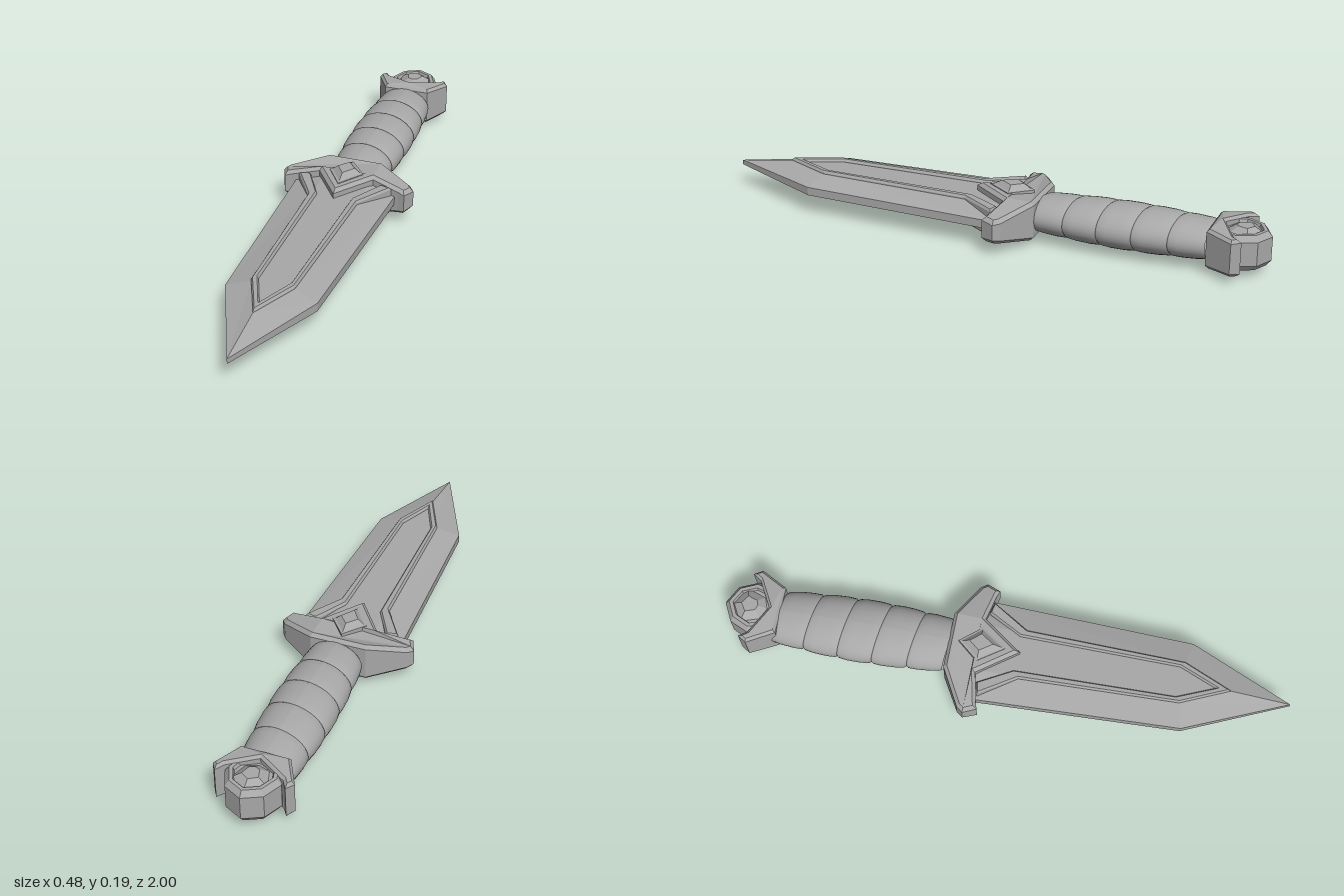
import * as THREE from 'three';

// Mirrors a half outline of [x, z] points (listed with x >= 0) across x = 0, counter-clockwise in x-z.
function mirror(half) {
  const other = half.filter(p => p[0] > 0).reverse().map(([x, z]) => [-x, z]);
  const pts = [...half, ...other];
  const area = THREE.ShapeUtils.area(pts.map(p => new THREE.Vector2(...p)));
  return area < 0 ? pts.reverse() : pts;
}

// Moves every edge of an outline inwards by d.
function inset(pts, d) {
  const n = pts.length;
  const dir = (a, b) => {
    const l = Math.hypot(b[0] - a[0], b[1] - a[1]);
    return [-(b[1] - a[1]) / l, (b[0] - a[0]) / l];
  };
  return pts.map((p, i) => {
    const u = dir(pts[(i + n - 1) % n], p), v = dir(p, pts[(i + 1) % n]);
    const k = d / Math.max(0.3, 1 + u[0] * v[0] + u[1] * v[1]);
    return [p[0] + (u[0] + v[0]) * k, p[1] + (u[1] + v[1]) * k];
  });
}

// Flat-faced solid through rings of [x, y, z], bottom to top, with caps.
function loft(rings) {
  const pos = [], n = rings[0].length;
  const tri = (a, b, c) => pos.push(...a, ...b, ...c);
  for (let r = 0; r < rings.length - 1; r++) {
    for (let i = 0; i < n; i++) {
      const j = (i + 1) % n, a = rings[r], b = rings[r + 1];
      tri(a[i], b[j], a[j]);
      tri(a[i], b[i], b[j]);
    }
  }
  const cap = (ring, up) => {
    const flat = ring.map(p => new THREE.Vector2(p[0], p[2]));
    for (const [a, b, c] of THREE.ShapeUtils.triangulateShape(flat, [])) {
      if (up) tri(ring[a], ring[c], ring[b]);
      else tri(ring[a], ring[b], ring[c]);
    }
  };
  cap(rings[0], false);
  cap(rings[rings.length - 1], true);
  const g = new THREE.BufferGeometry();
  g.setAttribute('position', new THREE.Float32BufferAttribute(pos, 3));
  g.computeVertexNormals();
  return g;
}

// Solid that is the same above and below; levels run from the rim to the top face as
// [outline, height], where height is a number or a function of x and z.
function plate(levels) {
  const ring = ([pts, h], s) => pts.map(([x, z]) => [x, s * (typeof h === 'function' ? h(x, z) : h), z]);
  return loft([...levels.slice().reverse().map(l => ring(l, -1)), ...levels.map(l => ring(l, 1))]);
}

export function createModel() {
  const steel = new THREE.MeshStandardMaterial({ color: 0xa8a8a8 });
  steel.name = 'grey steel';
  const model = new THREE.Group();
  model.name = 'dagger';
  const body = new THREE.Group();
  body.name = 'daggerBody';
  body.position.y = 0.0925;
  model.add(body);
  const add = (name, geometry, parent = body) => {
    const mesh = new THREE.Mesh(geometry, steel);
    mesh.name = name;
    parent.add(mesh);
    return mesh;
  };

  // Blade: thin edge rising to a flat centre
  const edge = mirror([[0.185, -0.1], [0.157, 0.64], [0, 1]]);
  const centre = mirror([[0.085, -0.1], [0.072, 0.62], [0, 0.79]]);
  add('blade', plate([[edge, (x, z) => (z > 0.9 ? 0.009 : 0.015)], [centre, 0.04]]));

  // Raised border on the blade, flaring out at the guard
  const border = mirror([
    [0, 0.79], [0.075, 0.62], [0.09, 0.06], [0.172, -0.07],
    [0.13, -0.08], [0.064, 0.04], [0.055, 0.605], [0, 0.735],
  ]);
  add('bladeBorder', plate([[border, 0.043], [inset(border, 0.005), 0.051]]));

  // Guard: tapers in height towards its ends, pointed over the blade
  const guard = mirror([
    [0.1, -0.2], [0.225, -0.13], [0.242, -0.108], [0.222, -0.06], [0.198, -0.068], [0.1, -0.088], [0, 0.05],
  ]);
  const guardHeight = x => 0.071 - Math.max(0, Math.abs(x) - 0.1) * 0.22;
  add('guard', plate([[guard, x => guardHeight(x) - 0.012], [inset(guard, 0.012), guardHeight]]));

  // Cut gem set on both faces of the guard
  const gem = mirror([[0, -0.165], [0.062, -0.09], [0, 0]]);
  add('guardGem', plate([[gem, 0.074], [inset(gem, 0.008), 0.076], [inset(gem, 0.025), 0.0925]]));

  // Grip: five slanted wraps with an oval section
  const grip = new THREE.Group();
  grip.name = 'grip';
  body.add(grip);
  const start = 0.195, wrap = 0.123, count = 5;
  for (let i = 0; i < count; i++) {
    const profile = [[0, -0.006], [0.06, 0], [0.3, 0.003], [0.7, 0.003], [0.94, 0], [1, -0.006]].map(([t, bulge]) => {
      const f = (i + t) / count;
      return new THREE.Vector2(0.094 + 0.019 * Math.sin(Math.PI * f) + bulge, start + wrap * (i + t));
    });
    const g = new THREE.LatheGeometry(profile, 32);
    g.rotateX(-Math.PI / 2);
    g.scale(1, 0.66, 1);
    const p = g.attributes.position;
    for (let k = 0; k < p.count; k++) p.setZ(k, p.getZ(k) + p.getX(k) * 0.16);
    g.computeVertexNormals();
    add('gripWrap', g, grip);
  }

  // Pommel crown: collar with two upturned points
  const crown = mirror([[0.085, -0.8], [0.137, -0.895], [0.118, -0.925], [0.098, -0.895], [0, -0.84]]);
  const crownHeight = x => 0.08 - Math.abs(x) * 0.12;
  add('pommelCrown', plate([[crown, x => crownHeight(x) - 0.01], [inset(crown, 0.009), crownHeight]]));

  // Pommel: faceted knob with a sunken face
  const knob = mirror([[0, -1], [0.065, -0.967], [0.095, -0.9], [0.075, -0.835], [0, -0.81]]);
  add('pommelKnob', plate([
    [knob, 0.042], [inset(knob, 0.014), 0.062], [inset(knob, 0.026), 0.062], [inset(knob, 0.03), 0.05],
  ]));

  // Pointed gem in the pommel
  const stone = mirror([[0, -0.972], [0.062, -0.932], [0.04, -0.865], [0, -0.85]]);
  add('pommelGem', plate([[stone, 0.05], [inset(stone, 0.028), 0.07]]));

  return model;
}
